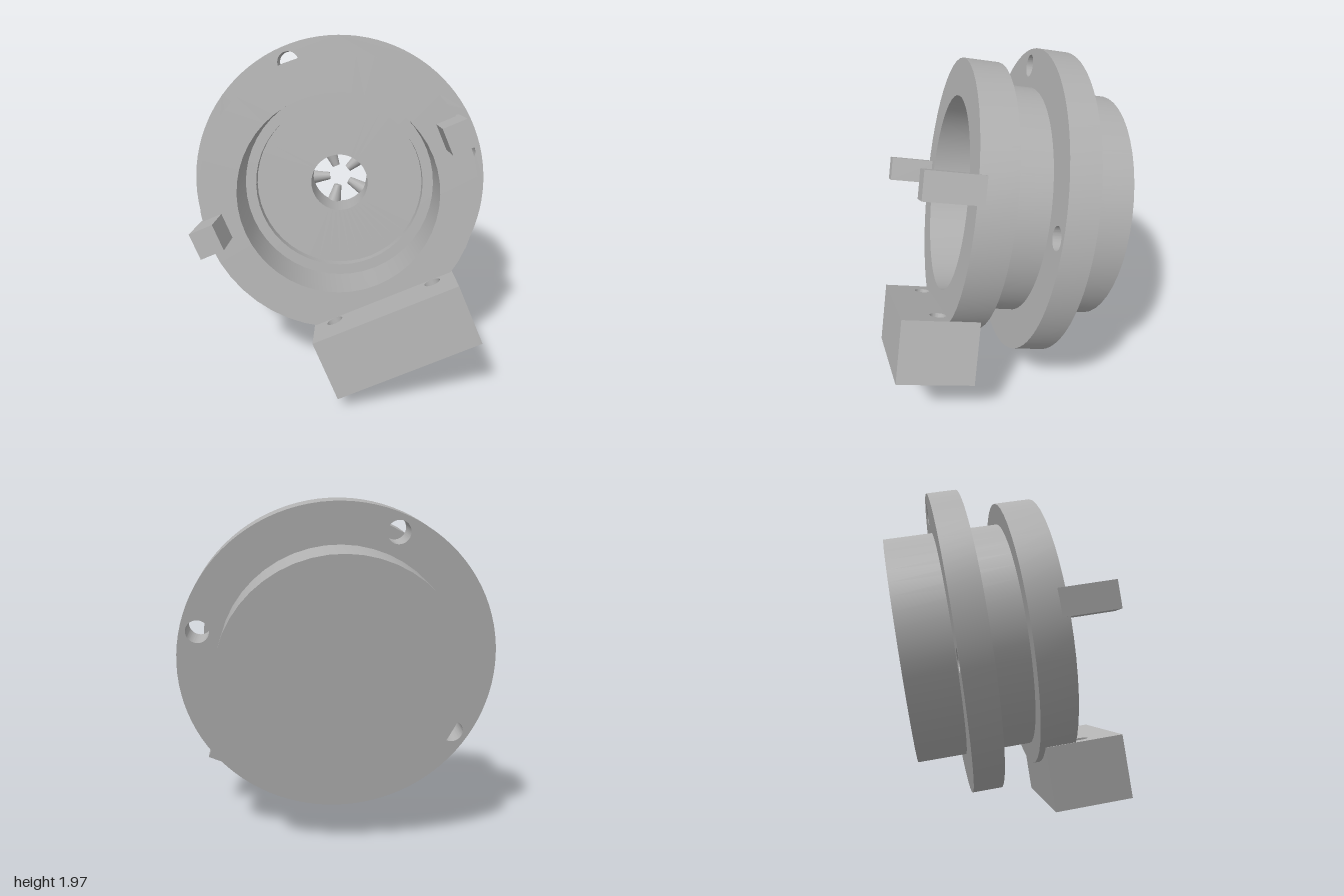
import * as THREE from 'three';
import { toCreasedNormals } from 'three/addons/utils/BufferGeometryUtils.js';

const SEG = 48;

function hole(x, y, r) {
  const p = new THREE.Path();
  p.absarc(x, y, r, 0, Math.PI * 2, true);
  return p;
}

export function createModel() {
  const gray = new THREE.MeshStandardMaterial({ color: 0xb0b0b0 });
  gray.name = 'machined gray';
  const group = new THREE.Group();
  group.name = 'flangedHousing';

  function add(name, geometry) {
    const mesh = new THREE.Mesh(toCreasedNormals(geometry, 0.5), gray);
    mesh.name = name;
    group.add(mesh);
    return mesh;
  }

  // Turned body: closed rear drum, front ring, stepped bore and open centre hole
  const profile = [
    [0, -0.379], [0.687, -0.379], [0.687, 0.31], [0.81, 0.31], [0.81, 0.522],
    [0.59, 0.522], [0.59, 0.16], [0.525, 0.16], [0.525, 0.09], [0.18, 0.09], [0.18, -0.22],
  ].map(([r, s]) => new THREE.Vector2(r, s));
  add('turnedBody', new THREE.LatheGeometry(profile, SEG).rotateX(Math.PI / 2));

  // Mounting flange with three bolt holes
  const disc = new THREE.Shape();
  disc.absarc(0, 0, 0.92, 0, Math.PI * 2, false);
  disc.holes.push(hole(0, 0, 0.66));
  for (const deg of [90, -9, 189]) {
    const a = THREE.MathUtils.degToRad(deg);
    disc.holes.push(hole(0.82 * Math.cos(a), 0.82 * Math.sin(a), 0.066));
  }
  add('mountingFlange', new THREE.ExtrudeGeometry(disc, {
    depth: 0.175, bevelEnabled: false, curveSegments: SEG,
  }).translate(0, 0, -0.0875));

  // Two square pegs on the front ring
  for (const side of [-1, 1]) {
    add(side > 0 ? 'leftPeg' : 'rightPeg',
      new THREE.BoxGeometry(0.14, 0.155, 0.32).translate(side * 0.742, 0.085, 0.64));
  }

  // Foot block, drilled through twice from top to bottom
  const foot = new THREE.Shape();
  foot.moveTo(-0.442, -0.225);
  foot.lineTo(0.442, -0.225);
  foot.lineTo(0.442, 0.225);
  foot.lineTo(-0.442, 0.225);
  foot.closePath();
  foot.holes.push(hole(-0.31, 0, 0.048), hole(0.31, 0, 0.048));
  add('footBlock', new THREE.ExtrudeGeometry(foot, {
    depth: 0.367, bevelEnabled: false, curveSegments: 24,
  }).rotateX(-Math.PI / 2).translate(0, -1.05, 0.57));

  // Five inward studs at the bottom of the centre hole
  for (let i = 0; i < 5; i++) {
    add('innerStud', new THREE.CylinderGeometry(0.025, 0.045, 0.11, 16)
      .translate(0, -0.125, 0)
      .rotateZ(Math.PI + i * Math.PI * 2 / 5)
      .translate(0, 0, -0.22));
  }

  // Tilt the whole housing: local z is its turning axis
  const z = new THREE.Vector3(0.387, 0.19, 0.902).normalize();
  const x = new THREE.Vector3(0.81, 0.381, -0.435);
  x.addScaledVector(z, -x.dot(z)).normalize();
  const y = new THREE.Vector3().crossVectors(z, x);
  group.quaternion.setFromRotationMatrix(new THREE.Matrix4().makeBasis(x, y, z));
  group.position.set(-0.125, 1.057, -0.227);

  const model = new THREE.Group();
  model.name = 'model';
  model.add(group);
  return model;
}
